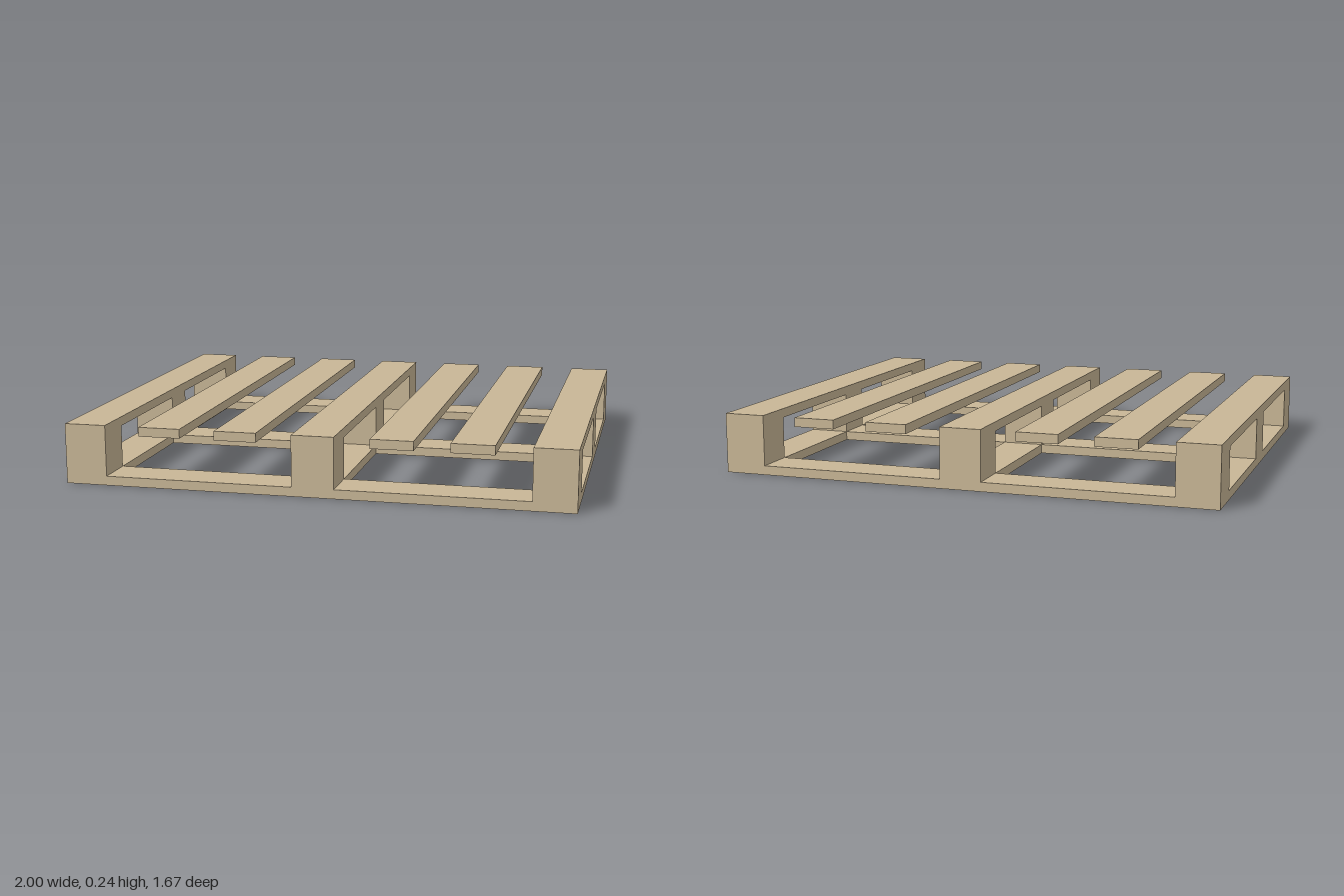
import * as THREE from 'three';

const LENGTH = 2, DEPTH = 1.6667, HEIGHT = 0.24;
const BOARD = 0.0367; // board thickness
const WIDTH = 0.1667; // board and block width
const PITCH = (LENGTH - WIDTH) / 6; // spacing of the seven deck boards

function polygon(points, Type = THREE.Shape) {
  return new Type(points.map(([x, y]) => new THREE.Vector2(x, y)));
}

function rectangle(x0, y0, x1, y1, Type) {
  return polygon([[x0, y0], [x1, y0], [x1, y1], [x0, y1]], Type);
}

export function createModel() {
  const model = new THREE.Group();
  model.name = 'pallet';
  const wood = new THREE.MeshStandardMaterial({ color: 0xc8b696 });
  wood.name = 'pale wood';

  const add = (name, geometry, x = 0, y = 0) => {
    const mesh = new THREE.Mesh(geometry, wood);
    mesh.name = name;
    mesh.position.set(x, y, 0);
    model.add(mesh);
  };

  const w = WIDTH / 2, hx = LENGTH / 2, hz = DEPTH / 2;

  // Base frame: perimeter and central cross, leaving four openings
  const frame = rectangle(-hx, -hz, hx, hz);
  for (const [x0, x1] of [[-hx + WIDTH, -w], [w, hx - WIDTH]]) {
    for (const [z0, z1] of [[-hz + WIDTH, -w], [w, hz - WIDTH]]) {
      frame.holes.push(rectangle(x0, z0, x1, z1, THREE.Path));
    }
  }
  const base = new THREE.ExtrudeGeometry(frame, { depth: BOARD, bevelEnabled: false });
  base.rotateX(-Math.PI / 2);
  add('baseFrame', base);

  // Stringer: top board carried on three blocks, drawn in side profile
  const under = HEIGHT - BOARD;
  const profile = polygon([
    [-hz, BOARD], [-hz + WIDTH, BOARD], [-hz + WIDTH, under], [-w, under],
    [-w, BOARD], [w, BOARD], [w, under], [hz - WIDTH, under],
    [hz - WIDTH, BOARD], [hz, BOARD], [hz, HEIGHT], [-hz, HEIGHT],
  ]);
  const stringer = new THREE.ExtrudeGeometry(profile, { depth: WIDTH, bevelEnabled: false });
  stringer.translate(0, 0, -w).rotateY(Math.PI / 2);

  // Seven deck boards: stringers at both sides and the middle, plain slats between
  const slat = new THREE.BoxGeometry(WIDTH, BOARD, DEPTH);
  for (let i = -3; i <= 3; i++) {
    if (i % 3 === 0) add('stringer', stringer, i * PITCH);
    else add('deckSlat', slat, i * PITCH, HEIGHT - BOARD / 2);
  }

  return model;
}
